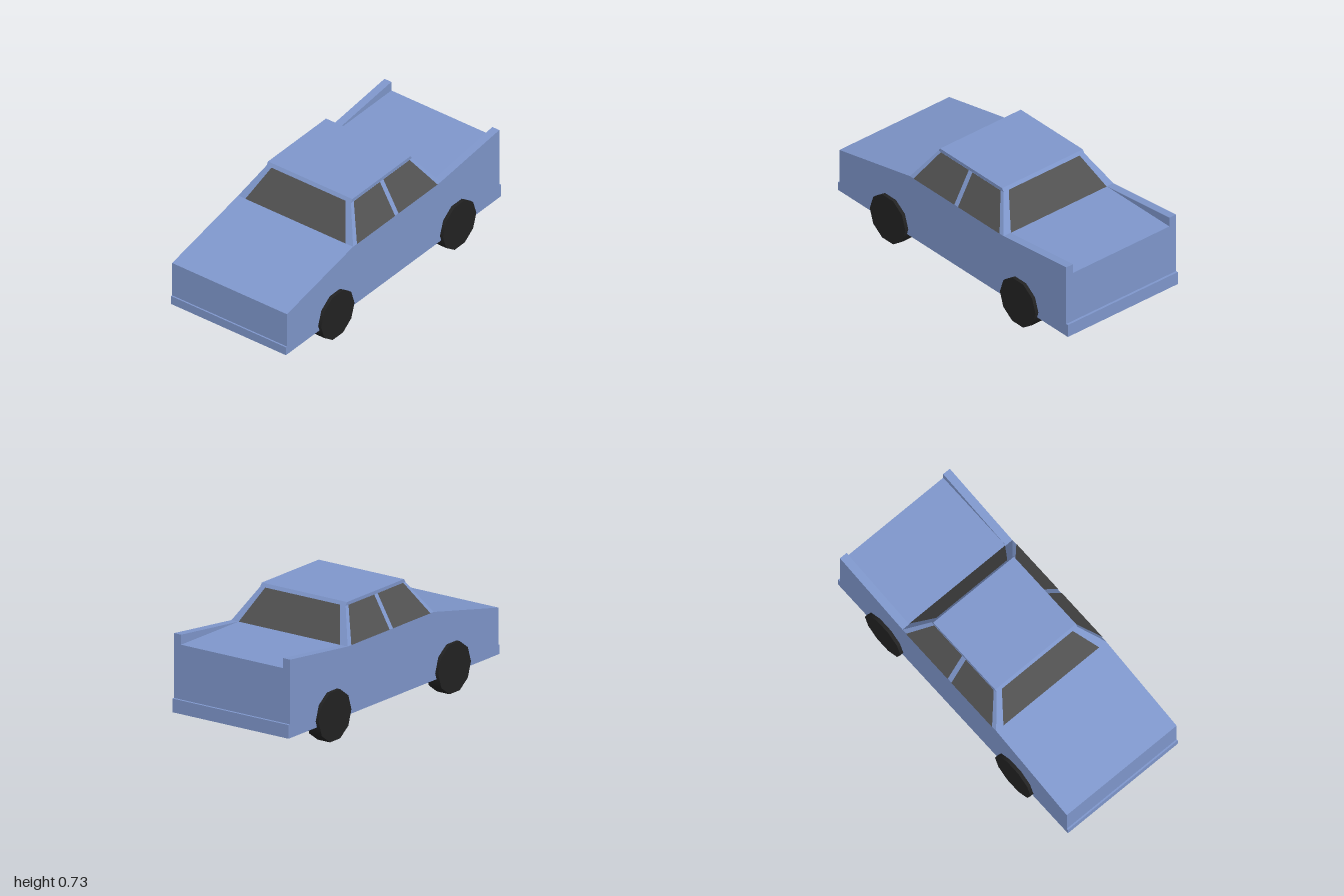
import * as THREE from 'three';

const paint = new THREE.MeshStandardMaterial({ color: 0x7f97cc });
const glass = new THREE.MeshStandardMaterial({ color: 0x525252, side: THREE.DoubleSide });
const rubber = new THREE.MeshStandardMaterial({ color: 0x222222 });

const HALF = 0.415; // half width of the body
const SILL = 0.52;  // height where the cabin starts

function add(parent, name, geometry, material) {
  const mesh = new THREE.Mesh(geometry, material);
  mesh.name = name;
  parent.add(mesh);
  return mesh;
}

// Side profile given as [z, y] points, extruded across x from x0 to x1
function profile(points, x0, x1) {
  const shape = new THREE.Shape(points.map(p => new THREE.Vector2(p[0], p[1])));
  const geo = new THREE.ExtrudeGeometry(shape, { depth: x1 - x0, bevelEnabled: false });
  return geo.rotateY(-Math.PI / 2).translate(x1, 0, 0);
}

// Flat-shaded faces from quads of [x, y, z] corners, counter-clockwise from outside
function quads(list) {
  const pos = list.flatMap(([a, b, c, d]) => [a, b, c, a, c, d].flat());
  const geo = new THREE.BufferGeometry();
  geo.setAttribute('position', new THREE.Float32BufferAttribute(pos, 3));
  geo.computeVertexNormals();
  return geo;
}

// Cabin: rectangular rings stacked upwards, closed by the roof
function cabinGeometry() {
  const rings = [[SILL, HALF, 0.375, -0.44], [0.71, 0.305, 0.253, -0.313], [0.73, 0.305, 0.24, -0.3]]
    .map(([y, x, front, back]) => [[-x, y, front], [x, y, front], [x, y, back], [-x, y, back]]);
  const faces = [rings[2]];
  for (let r = 0; r < 2; r++) {
    for (let i = 0; i < 4; i++) {
      const j = (i + 1) % 4;
      faces.push([rings[r][i], rings[r][j], rings[r + 1][j], rings[r + 1][i]]);
    }
  }
  return quads(faces);
}

export function createModel() {
  const car = new THREE.Group();
  car.name = 'pickupCar';

  // Lower body with sloping bonnet and flat rear deck
  add(car, 'body', profile([
    [0.99, 0.11], [0.99, 0.39], [0.375, SILL], [-0.44, SILL], [-0.985, SILL], [-0.985, 0.11],
  ], -HALF, HALF), paint);

  // Bumper strips
  add(car, 'frontBumper', profile([[0.98, 0.11], [1, 0.11], [1, 0.165], [0.98, 0.165]], -HALF, HALF), paint);
  add(car, 'rearBumper', profile([[-1, 0.11], [-0.98, 0.11], [-0.98, 0.192], [-1, 0.192]], -HALF, HALF), paint);

  // Rising side rails beside the deck
  for (const [name, x0, x1] of [['leftRail', 0.365, HALF], ['rightRail', -HALF, -0.365]]) {
    add(car, name, profile([[-0.44, SILL], [-0.985, 0.58], [-0.985, SILL]], x0, x1), paint);
  }

  add(car, 'cabin', cabinGeometry(), paint);

  // Windscreen and rear window, lying just off the cabin slopes
  const lo = SILL + 0.001, hi = 0.711, gap = 0.003;
  const frontZ = y => 0.375 - (y - SILL) * 0.122 / 0.19 + gap;
  const backZ = y => -0.44 + (y - SILL) * 0.127 / 0.19 - gap;
  for (const [name, z, s] of [['windscreen', frontZ, 1], ['rearWindow', backZ, -1]]) {
    add(car, name, quads([[
      [-0.362 * s, lo, z(lo)], [0.362 * s, lo, z(lo)], [0.268 * s, hi, z(hi)], [-0.268 * s, hi, z(hi)],
    ]]), glass);
  }

  // Side windows: [front bottom, back bottom, back top, front top] as z values
  const sideX = y => HALF - (y - SILL) * 0.11 / 0.19 + gap;
  const panes = { FrontWindow: [0.342, -0.013, -0.013, 0.23], RearWindow: [-0.045, -0.408, -0.289, -0.045] };
  for (const [side, s] of [['left', 1], ['right', -1]]) {
    for (const [name, [a, b, c, d]] of Object.entries(panes)) {
      const corners = [[s * sideX(lo), lo, a], [s * sideX(lo), lo, b], [s * sideX(hi), hi, c], [s * sideX(hi), hi, d]];
      add(car, side + name, quads([s > 0 ? corners : corners.reverse()]), glass);
    }
  }

  // Ten-sided wheels
  const wheel = new THREE.CylinderGeometry(0.155, 0.155, 0.09, 10).rotateZ(Math.PI / 2);
  for (const [side, x] of [['Left', 0.392], ['Right', -0.392]]) {
    for (const [end, z] of [['front', 0.545], ['rear', -0.588]]) {
      add(car, `${end}${side}Wheel`, wheel, rubber).position.set(x, 0.1475, z);
    }
  }
  return car;
}
